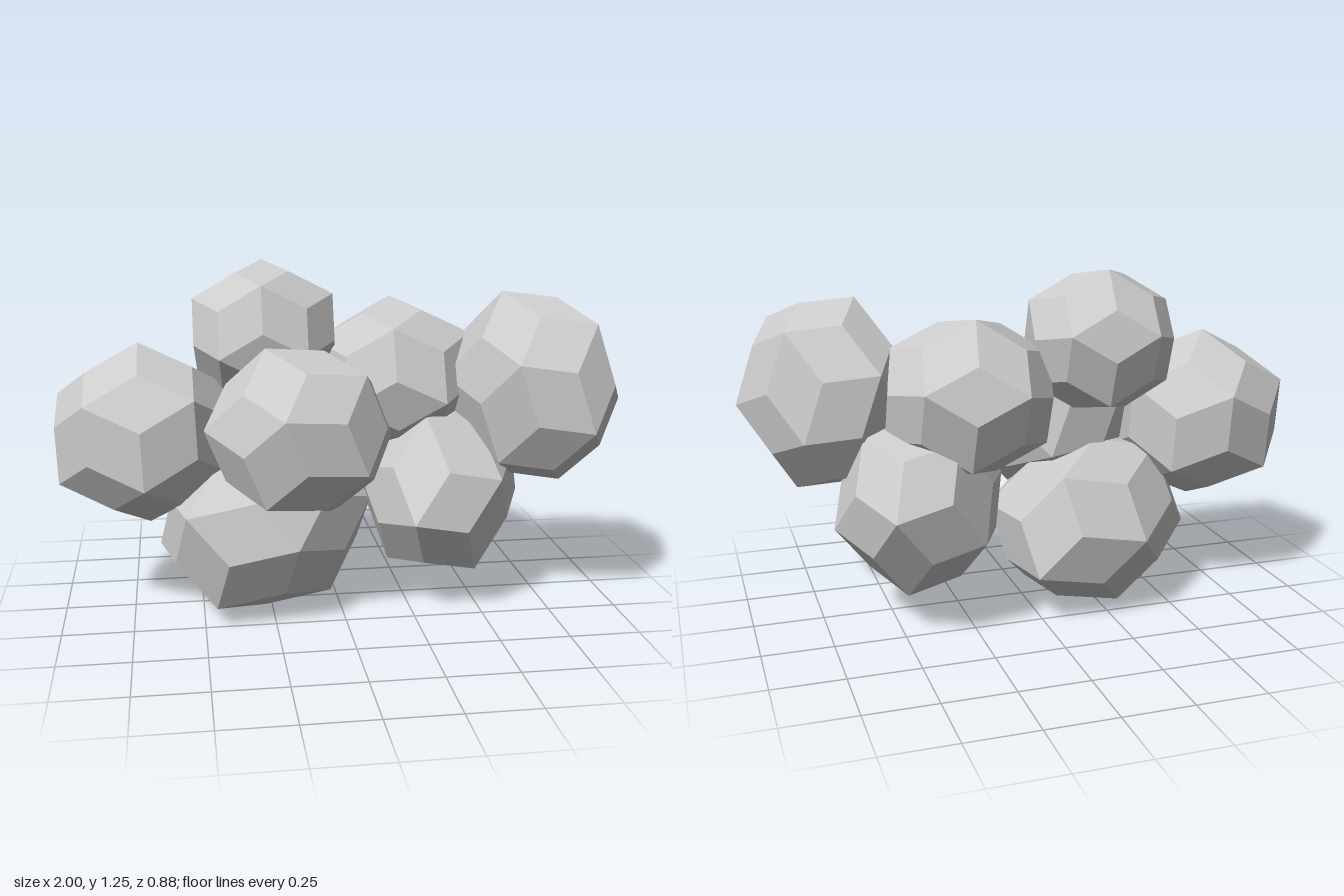
import * as THREE from 'three';
import { ConvexGeometry } from 'three/addons/geometries/ConvexGeometry.js';

// Thirty-sided rhombic solid: icosahedron plus dodecahedron corners
function rhombicPoints() {
  const p = (1 + Math.sqrt(5)) / 2, s = [-1, 1], pts = [];
  const cyc = (a, b, c) => pts.push(
    new THREE.Vector3(a, b, c), new THREE.Vector3(c, a, b), new THREE.Vector3(b, c, a));
  for (const i of s) for (const j of s) {
    cyc(0, i, j * p);
    cyc(0, i * p, j / p);
    for (const k of s) pts.push(new THREE.Vector3(i, j, k));
  }
  return pts;
}

// Rotation that aims two neighbouring five-edged corners along the given directions
function aim(tipA, tipB) {
  const a = new THREE.Vector3(...tipA).normalize(), b = new THREE.Vector3(...tipB).normalize();
  const z = a.clone().add(b).normalize(), y = a.clone().sub(b).normalize();
  return new THREE.Matrix4().makeBasis(y.clone().cross(z), y, z);
}

// One faceted lump: aim the facets, stretch, tilt, then fit to a box
function lump({ tips, stretch = [1, 1, 1], tilt = [0, 0, 0], min, max }) {
  const turn = aim(...tips), tiltE = new THREE.Euler(...tilt);
  const scale = new THREE.Vector3(...stretch);
  const pts = rhombicPoints().map(v => v.applyMatrix4(turn).multiply(scale).applyEuler(tiltE));
  const box = new THREE.Box3().setFromPoints(pts);
  const size = box.getSize(new THREE.Vector3());
  const lo = new THREE.Vector3(...min), span = new THREE.Vector3(...max).sub(lo);
  pts.forEach(v => v.sub(box.min).divide(size).multiply(span).add(lo));
  return new ConvexGeometry(pts);
}

export function createModel() {
  const group = new THREE.Group();
  group.name = 'lumpCluster';
  const material = new THREE.MeshStandardMaterial({ color: 0xcccccc, flatShading: true });

  const lumps = {
    rightLump: {
      tips: [[-0.86, 0.4, -0.31], [0, 0.4, -0.92]],
      min: [-1, 0.33, -0.31], max: [-0.39, 0.98, 0.32],
    },
    topLump: {
      tips: [[0, 0.94, -0.34], [-0.08, 0.69, 0.7]],
      min: [-0.51, 0.72, -0.36], max: [0.01, 1.245, 0.12],
    },
    frontLump: {
      tips: [[-0.16, 0.26, 0.85], [0.56, -0.29, 0.78]],
      min: [-0.49, 0.37, -0.14], max: [0.19, 0.98, 0.44],
    },
    backLump: {
      tips: [[0, 0.955, -0.29], [-0.42, 0.15, -0.9]],
      min: [-0.06, 0.53, -0.42], max: [0.53, 1.1, 0.17],
    },
    leftLump: {
      tips: [[0.03, 0.68, -0.73], [0.765, -0.11, -0.64]],
      stretch: [0.35, 0.345, 0.255], tilt: [0, -Math.PI / 4, 0],
      min: [0.39, 0.46, -0.18], max: [1, 1.15, 0.39],
    },
    bottomLump: {
      tips: [[-0.29, 0.03, 0.96], [-0.65, -0.65, 0.2]],
      stretch: [0.425, 0.31, 0.32], tilt: [0, 0.65, 0],
      min: [-0.65, 0, -0.38], max: [0.13, 0.61, 0.355],
    },
    lowerLeftLump: {
      tips: [[-0.21, 0.14, 0.97], [0.5, -0.58, 0.65]],
      stretch: [0.3, 0.31, 0.41], tilt: [0.25, -0.25, 0],
      min: [0.08, 0.11, -0.445], max: [0.71, 0.75, 0.35],
    },
  };

  for (const [name, spec] of Object.entries(lumps)) {
    const mesh = new THREE.Mesh(lump(spec), material);
    mesh.name = name;
    group.add(mesh);
  }
  return group;
}
